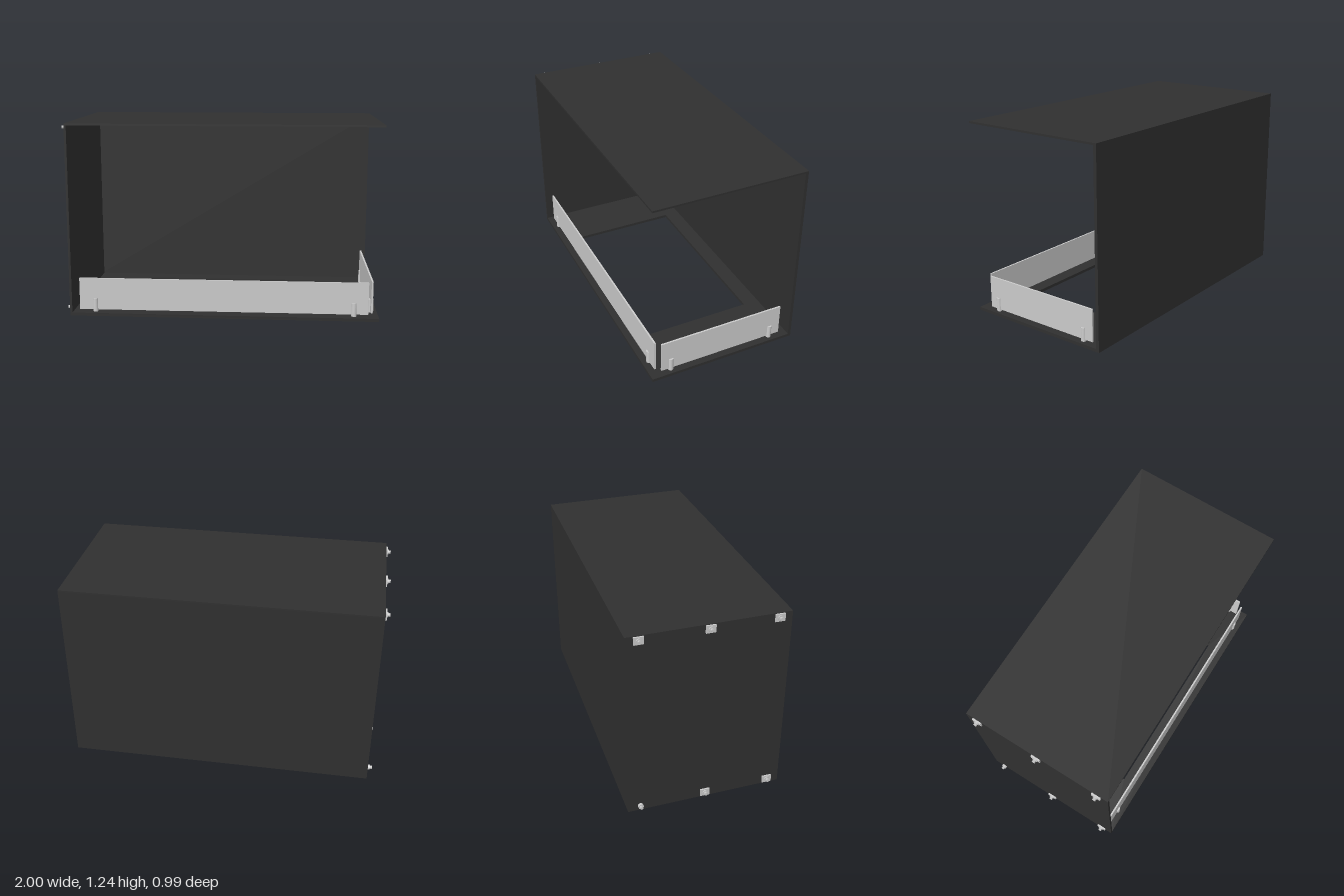
import * as THREE from 'three';

const dark = new THREE.MeshStandardMaterial({ color: 0x303030 });
const grey = new THREE.MeshStandardMaterial({ color: 0xcccccc });

// Outer limits of the cabinet
const X0 = -0.97, X1 = 1, Z = 0.493, H = 1.235;

function add(parent, name, geometry, material, x = 0, y = 0, z = 0) {
  const mesh = new THREE.Mesh(geometry, material);
  mesh.name = name;
  mesh.position.set(x, y, z);
  parent.add(mesh);
  return mesh;
}

// Box given by its limits on each axis
function slab(parent, name, material, [x0, x1], [y0, y1], [z0, z1]) {
  return add(parent, name, new THREE.BoxGeometry(x1 - x0, y1 - y0, z1 - z0), material,
    (x0 + x1) / 2, (y0 + y1) / 2, (z0 + z1) / 2);
}

// Floor sheet with a large rectangular opening
function floorGeometry(thickness) {
  const rect = (Type, x0, x1, z0, z1) => new Type([
    new THREE.Vector2(x0, z0), new THREE.Vector2(x1, z0),
    new THREE.Vector2(x1, z1), new THREE.Vector2(x0, z1)]);
  const shape = rect(THREE.Shape, X0, X1, -Z, Z);
  shape.holes.push(rect(THREE.Path, -0.597, 0.622, -0.368, 0.368));
  const g = new THREE.ExtrudeGeometry(shape, { depth: thickness, bevelEnabled: false });
  return g.rotateX(-Math.PI / 2);
}

// Round post with a slot across it that grips a panel running along its x axis
function slottedPost(name) {
  const post = new THREE.Group();
  post.name = name;
  const r = 0.0165, slot = 0.0055, base = 0.012, height = 0.087;
  add(post, 'postBase', new THREE.CylinderGeometry(r, r, base, 32), grey, 0, base / 2, 0);
  const a = Math.asin(slot / r);
  const half = new THREE.Shape();
  half.absarc(0, 0, r, a, Math.PI - a, false);
  half.closePath();
  const jaw = new THREE.ExtrudeGeometry(half,
    { depth: height - base, bevelEnabled: false, curveSegments: 16 }).rotateX(-Math.PI / 2);
  add(post, 'postJaw', jaw, grey, 0, base, 0);
  add(post, 'postJaw', jaw, grey, 0, base, 0).rotation.y = Math.PI;
  return post;
}

// Screw on the outside of the side wall, with or without a square plate
function fastener(withPlate) {
  const g = new THREE.Group();
  g.name = 'fastener';
  if (withPlate) slab(g, 'fastenerPlate', grey, [-0.01, 0], [-0.024, 0.024], [-0.03, 0.03]);
  const axis = (geo) => geo.rotateZ(Math.PI / 2);
  add(g, 'screwWasher', axis(new THREE.CylinderGeometry(0.017, 0.017, 0.016, 24)), grey, -0.008);
  add(g, 'screwHead', axis(new THREE.CylinderGeometry(0.011, 0.011, 0.03, 6)), grey, -0.015);
  return g;
}

export function createModel() {
  const model = new THREE.Group();
  model.name = 'openCabinet';

  // Cabinet shell, open at the front and at the left
  const floorTop = 0.02, top = 0.012, back = 0.02, side = 0.014;
  const shell = new THREE.Group();
  shell.name = 'shell';
  model.add(shell);
  add(shell, 'floor', floorGeometry(floorTop), dark);
  slab(shell, 'roof', dark, [X0, X1], [H - top, H], [-Z, Z]);
  slab(shell, 'backWall', dark, [X0, X1], [floorTop, H - top], [-Z, -Z + back]);
  slab(shell, 'sideWall', dark, [X0, X0 + side], [floorTop, H - top], [-Z + back, Z]);

  // Low guard panels along the two open sides
  const frontZ = 0.447, sideX = 0.961, t = 0.0055;
  slab(model, 'frontPanel', grey, [-0.915, 0.935], [0.032, 0.24], [frontZ - t, frontZ + t]);
  slab(model, 'sidePanel', grey, [sideX - t, sideX + t], [0.032, 0.24], [-0.418, 0.418]);

  // Slotted posts carrying the panels
  for (const x of [-0.812, 0.845]) {
    const post = slottedPost('frontPost');
    post.position.set(x, floorTop, frontZ);
    model.add(post);
  }
  for (const z of [-0.347, 0.353]) {
    const post = slottedPost('sidePost');
    post.position.set(sideX, floorTop, z);
    post.rotation.y = Math.PI / 2;
    model.add(post);
  }

  // Fasteners on the closed side, along its top and bottom edges
  for (const y of [0.034, 1.207]) {
    for (const z of [-0.415, 0, 0.415]) {
      const f = fastener(y > 1 || z > -0.4);
      f.position.set(X0, y, z);
      model.add(f);
    }
  }
  return model;
}
